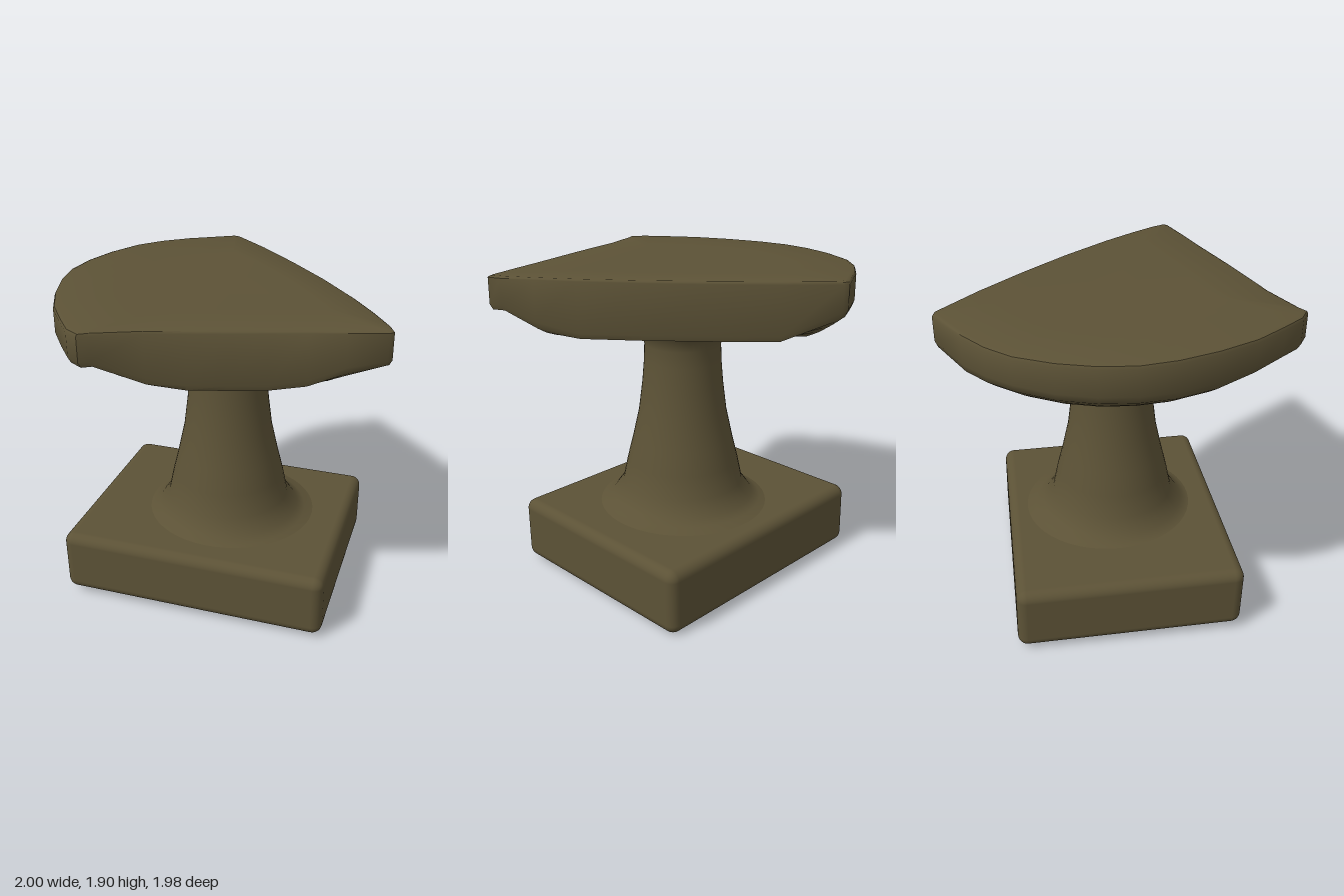
import * as THREE from 'three';
import { toCreasedNormals } from 'three/addons/utils/BufferGeometryUtils.js';
import { RoundedBoxGeometry } from 'three/addons/geometries/RoundedBoxGeometry.js';

// Outline of the broken slab (x, z): diagonal break, front break, round rim
const OUTLINE = [
  [-0.27, -0.99], [-0.235, -0.98], [0, -0.76], [0.25, -0.5], [0.5, -0.22], [0.73, 0.07],
  [0.87, 0.27], [0.97, 0.43], [1, 0.5], [0.98, 0.52], [0.78, 0.58], [0.6, 0.63], [0.4, 0.69],
  [0.2, 0.75], [0, 0.805], [-0.2, 0.86], [-0.45, 0.96], [-0.5, 0.99], [-0.58, 0.94],
  [-0.68, 0.81], [-0.8, 0.64], [-0.9, 0.42], [-0.97, 0.2], [-1, 0], [-0.98, -0.2],
  [-0.92, -0.4], [-0.82, -0.6], [-0.7, -0.73], [-0.55, -0.84],
];

// Underside of the slab: flat in the middle, rising towards the rim
function underside(x, z) {
  const t = THREE.MathUtils.clamp((Math.hypot(x, z) - 0.8) / 0.22, 0, 1);
  return 1.57 + 0.14 * Math.pow(t, 1.3);
}

function slabGeometry() {
  const top = (x) => 1.9 + 0.005 * Math.min(x, 0);
  // Rings from the top centre, over the edge, to the bottom centre: [scale, height rule]
  const rings = [
    [0, top], [0.6, top], [0.975, top], [0.993, (x) => top(x) - 0.006],
    [1, (x) => 1.882 + 0.008 * x], [1, (x, z) => underside(x, z) + 0.03],
    [0.985, underside], [0.93, underside], [0.87, underside], [0.8, underside],
    [0.72, underside], [0.5, underside], [0, underside],
  ];
  const n = OUTLINE.length, positions = [], index = [];
  for (const [s, height] of rings)
    for (const [ox, oz] of OUTLINE) positions.push(ox * s, height(ox * s, oz * s), oz * s);
  for (let i = 0; i < rings.length - 1; i++)
    for (let j = 0; j < n; j++) {
      const k = (j + 1) % n;
      const a = i * n + j, b = i * n + k, c = a + n, d = b + n;
      if (i > 0) index.push(a, b, d);
      if (i < rings.length - 2) index.push(a, d, c);
      else index.push(a, b, c);
    }
  // The first ring is a single point, so its triangles use only the outer edge
  const g = new THREE.BufferGeometry();
  g.setAttribute('position', new THREE.Float32BufferAttribute(positions, 3));
  g.setIndex(index);
  return toCreasedNormals(g, 0.75);
}

// Worn block, slightly tilted
function baseGeometry() {
  const g = new RoundedBoxGeometry(1.61, 0.39, 1.33, 4, 0.06);
  const p = g.attributes.position;
  for (let i = 0; i < p.count; i++) {
    const x = p.getX(i), y = p.getY(i), z = p.getZ(i);
    const lean = y > 0 && x > 0.7 ? 0.01 : 0;
    p.setXYZ(i, x - 0.065 + lean * y, y + 0.215 - 0.012 * x + 0.016 * z, z + 0.005 + 0.015 * y);
  }
  g.computeBoundingBox();
  return g;
}

export function createModel() {
  const group = new THREE.Group();
  const stone = new THREE.MeshStandardMaterial({ color: 0x5c5236 });
  stone.name = 'olive brown stone';
  const add = (name, geometry) => {
    const mesh = new THREE.Mesh(geometry, stone);
    mesh.name = name;
    group.add(mesh);
    return mesh;
  };

  add('base', baseGeometry());

  // Tapered column flaring into the base and the slab
  const profile = [
    [0.56, 0.395], [0.49, 0.42], [0.44, 0.45], [0.375, 0.54], [0.345, 0.68], [0.31, 0.82],
    [0.27, 1.0], [0.247, 1.18], [0.235, 1.32], [0.232, 1.42], [0.245, 1.48], [0.285, 1.535],
    [0.34, 1.56], [0.42, 1.575],
  ].map(([r, y]) => new THREE.Vector2(r, y));
  add('column', new THREE.LatheGeometry(profile, 48)).position.set(-0.015, 0, 0.005);

  add('brokenSlab', slabGeometry());
  return group;
}
